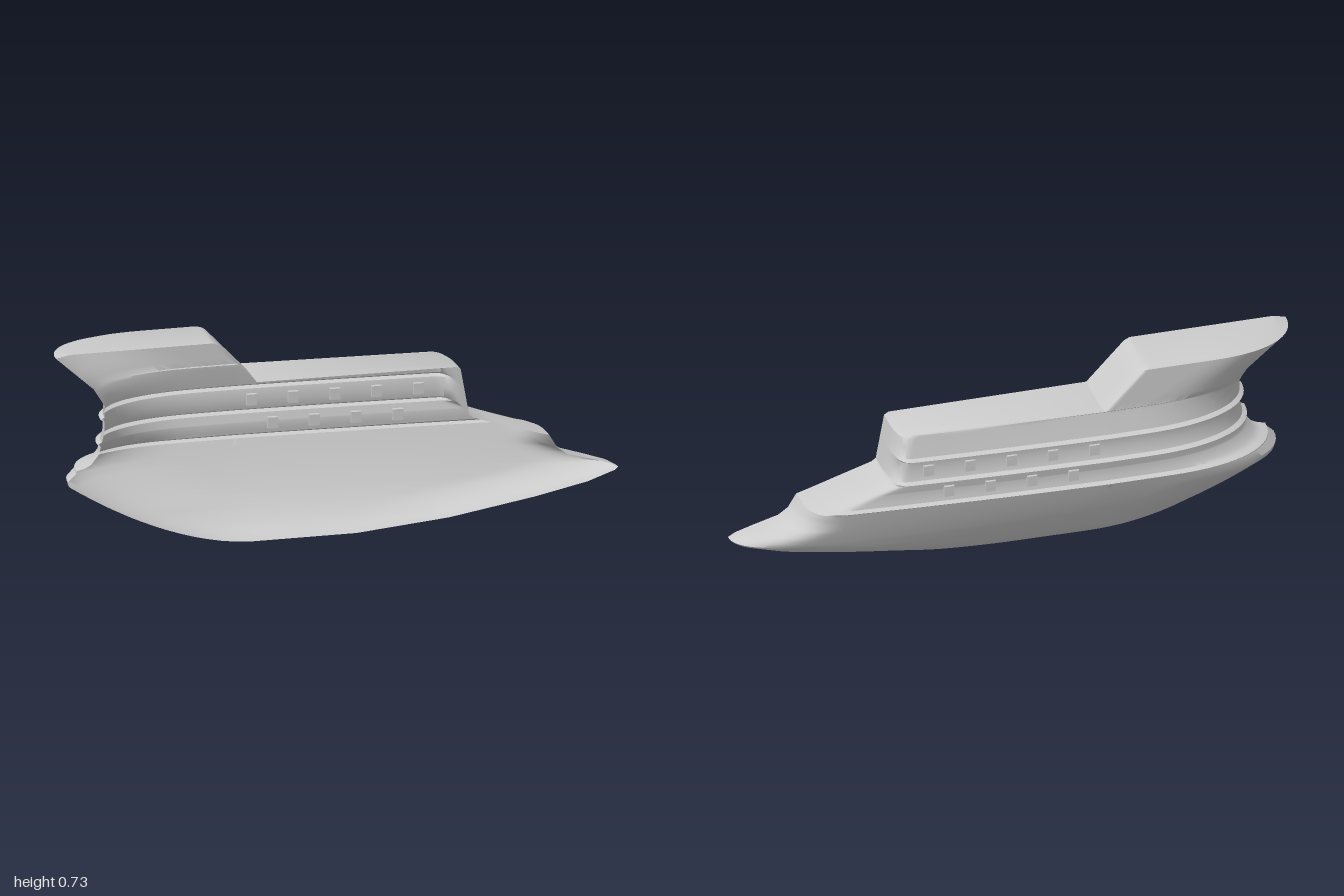
import * as THREE from 'three';
import { toCreasedNormals } from 'three/addons/utils/BufferGeometryUtils.js';

const CUT = 0.125; // plane of the open lengthwise cut
const HULL_TOP = 0.3, DECK = 0.577, ROOF = 0.732;
const LEDGES = [0.306, 0.396, 0.486];
const LIP = 0.008; // half thickness of a ledge

// Outline keys: [height, value]
const BOW = [[0, 0.07], [0.03, 0.4], [0.08, 0.7], [0.12, 0.89], [0.155, 0.99], [0.165, 1], [0.18, 0.975],
  [0.2, 0.91], [0.225, 0.82], [0.25, 0.785], [0.3, 0.755], [0.312, 0.715], [0.385, 0.485], [0.396, 0.47],
  [0.565, 0.44], [0.575, 0.425], [0.578, -0.285], [0.722, -0.42], [0.732, -0.44]];
const STERN = [[0.25, -0.952], [0.27, -0.957], [0.3, -0.925], [0.325, -0.875], [0.36, -0.847],
  [0.44, -0.827], [0.535, -0.826], [0.6, -0.866], [0.722, -1], [0.732, -0.95]];
const WALL = [[0.3, 0.235], [0.355, 0.225], [0.396, 0.234], [0.44, 0.222], [0.486, 0.23],
  [0.535, 0.218], [0.575, 0.21], [0.578, 0.213], [0.722, 0.212], [0.73, 0.2], [0.732, 0]];
const BOW_ROUNDING = [[0, 0.2], [0.05, 0.5], [0.08, 0.5], [0.165, 0.3], [0.225, 0.18], [0.3, 0.13],
  [0.385, 0.07], [0.575, 0.06], [0.578, 0.03]];

// Linear reading of a key table
function at(keys, y) {
  const k = keys.findIndex((key) => key[0] >= y);
  if (k < 0) return keys[keys.length - 1][1];
  if (k === 0) return keys[0][1];
  const [y0, v0] = keys[k - 1], [y1, v1] = keys[k];
  return THREE.MathUtils.mapLinear(y, y0, y1, v0, v1);
}

const lip = (y) => Math.max(...LEDGES.map((l) => Math.max(0, 1 - Math.abs(y - l) / LIP)));
const sternAt = (y) => (y < 0.25 ? -0.3 - 0.652 * (y / 0.25) ** 0.57 : at(STERN, y) - 0.014 * lip(y));
const breadthAt = (y) => (y < HULL_TOP ? 0.235 * (y / HULL_TOP) ** 0.46 : at(WALL, y) + 0.014 * lip(y));

// Gentle narrowing of the whole vessel towards the bow
const taper = (x) => {
  const d = Math.max(0, x + 0.3);
  return 1 - 0.12 * d - 0.1 * d * d;
};

// Half outline of one level, from stern to bow
function outline(y) {
  const xs = sternAt(y), xb = at(BOW, y), h = breadthAt(y);
  const mid = y < HULL_TOP ? xs + 0.4 * (xb - xs) : Math.min(-0.29, xb - 0.035);
  const rs = Math.min(0.15 + 2.5 * y, 0.42 - 0.6 * Math.max(0, y - 0.56), mid - xs);
  const rb = Math.min(at(BOW_ROUNDING, y), xb - mid);
  const sternPower = 2 / 2.3;
  const bowPower = 2 / (y < HULL_TOP ? 2.4 : y < DECK ? 3 : 5);
  const pts = [];
  const add = (x, w) => pts.push([x, y, CUT - h * w * taper(x)]);
  const arc = 16, run = 10;
  for (let i = 0; i <= arc; i++) {
    const a = (i / arc) * Math.PI / 2;
    add(xs + rs - rs * Math.max(0, Math.cos(a)) ** sternPower, Math.sin(a) ** sternPower);
  }
  for (let i = 1; i <= run; i++) add(THREE.MathUtils.lerp(xs + rs, mid, i / run), 1);
  for (let i = 1; i <= run; i++) add(THREE.MathUtils.lerp(mid, xb - rb, i / run), 1);
  for (let i = 1; i <= arc; i++) {
    const a = (i / arc) * Math.PI / 2;
    add(xb - rb + rb * Math.sin(a) ** bowPower, Math.max(0, Math.cos(a)) ** bowPower);
  }
  return pts;
}

// Heights of the levels: every key, the ledge edges and a fine run up the bilge
function levels() {
  const ys = [BOW, STERN, WALL].flatMap((keys) => keys.map((key) => key[0]));
  for (const l of LEDGES) ys.push(l - LIP, l - LIP / 2, l, l + LIP / 2, l + LIP);
  for (let j = 1; j < 10; j++) ys.push(0.15 * (j / 10) ** 1.6);
  for (let y = 0.6; y < ROOF - 0.02; y += 0.04) ys.push(y);
  return [...new Set(ys)].sort((a, b) => a - b);
}

function loft(rows) {
  const n = rows[0].length, index = [];
  for (let j = 0; j < rows.length - 1; j++) {
    for (let i = 0; i < n - 1; i++) {
      const a = j * n + i, b = a + n;
      index.push(a, b, a + 1, a + 1, b, b + 1);
    }
  }
  const g = new THREE.BufferGeometry();
  g.setAttribute('position', new THREE.Float32BufferAttribute(rows.flat(2), 3));
  g.setIndex(index);
  return toCreasedNormals(g, 0.7);
}

export function createModel() {
  const group = new THREE.Group();
  const material = new THREE.MeshStandardMaterial({ color: 0xcccccc, side: THREE.DoubleSide });

  // Open half shell: hull, ledges, decks and raised stern block in one skin
  const shell = new THREE.Mesh(loft(levels().map(outline)), material);
  shell.name = 'halfShipShell';
  group.add(shell);

  // Two rows of small window boxes set through the wall
  const windowGeometry = new THREE.BoxGeometry(0.036, 0.04, 0.024);
  const windowRows = [
    { name: 'upperWindow', y: 0.442, start: -0.25, count: 5 },
    { name: 'lowerWindow', y: 0.352, start: -0.175, count: 4 },
  ];
  for (const { name, y, start, count } of windowRows) {
    for (let i = 0; i < count; i++) {
      const x = start + i * 0.147;
      const box = new THREE.Mesh(windowGeometry, material);
      box.name = name;
      box.position.set(x, y, CUT - breadthAt(y) * taper(x));
      group.add(box);
    }
  }
  return group;
}
